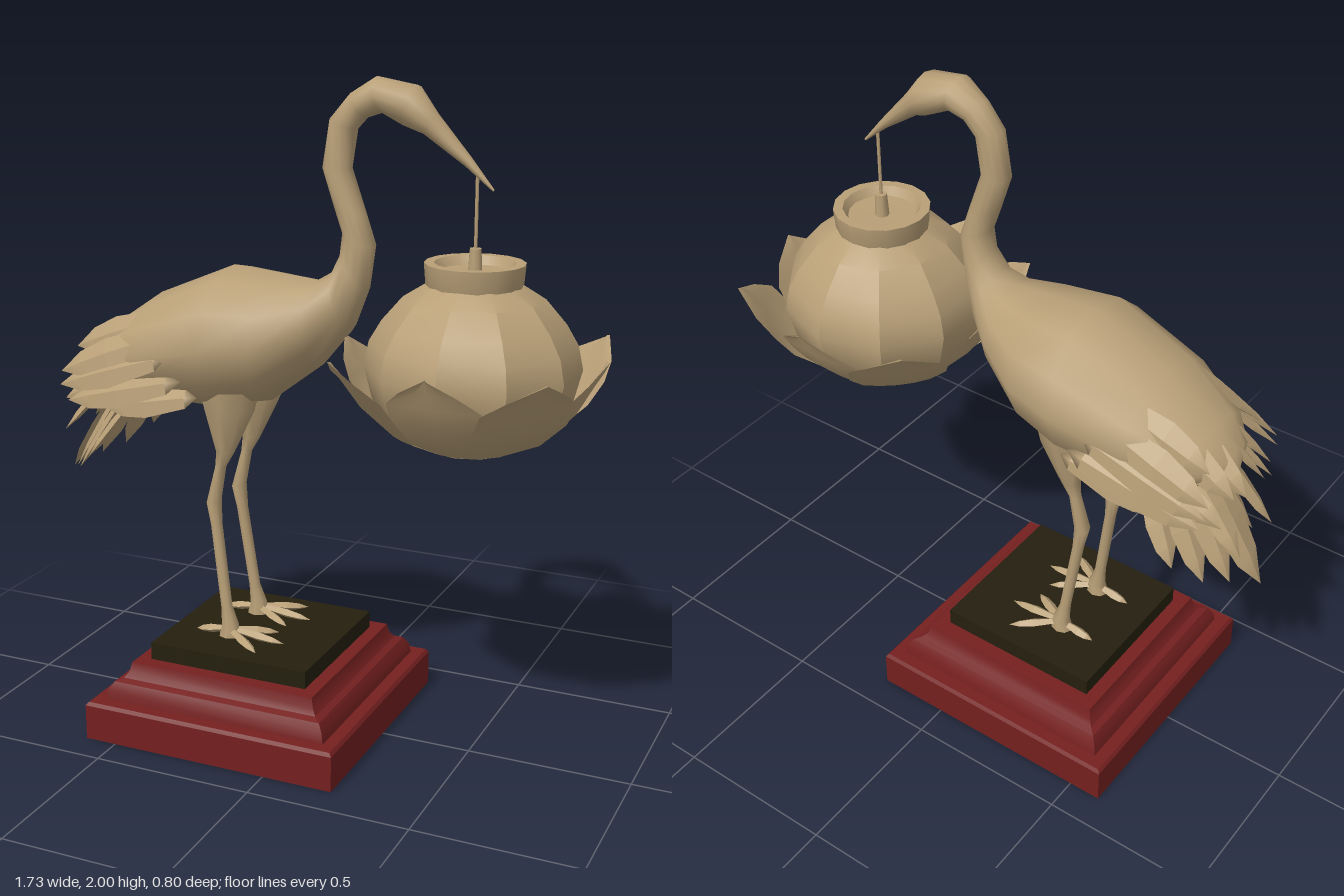
import * as THREE from 'three';
import { toCreasedNormals } from 'three/addons/utils/BufferGeometryUtils.js';

export function createModel() {
  const model = new THREE.Group();
  const mat = (name, color, side = THREE.FrontSide) => {
    const m = new THREE.MeshStandardMaterial({ color, side });
    m.name = name;
    return m;
  };
  const tan = mat('tan', 0xb89f77, THREE.DoubleSide);
  const red = mat('dark red', 0x74201f);
  const dark = mat('dark olive', 0x241f0e);

  const add = (name, geo, material, parent = model) => {
    const mesh = new THREE.Mesh(geo, material);
    mesh.name = name;
    parent.add(mesh);
    return mesh;
  };
  const group = (name) => {
    const g = new THREE.Group();
    g.name = name;
    model.add(g);
    return g;
  };
  const vec2 = (list) => list.map(([x, y]) => new THREE.Vector2(x, y));

  // Tube of oval rings; each ring is [x1, y1, x2, y2, half width in z, centre z]
  const loft = (rings, sides) => {
    const pos = [], idx = [];
    rings.forEach(([x1, y1, x2, y2, w, z = 0], i) => {
      for (let j = 0; j < sides; j++) {
        const a = (j / sides) * Math.PI * 2, c = Math.cos(a) / 2;
        pos.push((x1 + x2) / 2 + c * (x1 - x2), (y1 + y2) / 2 + c * (y1 - y2), z + Math.sin(a) * w);
        if (i === 0) continue;
        const k = (j + 1) % sides, p = (i - 1) * sides, q = i * sides;
        idx.push(p + j, p + k, q + j, p + k, q + k, q + j);
      }
    });
    const geo = new THREE.BufferGeometry();
    geo.setAttribute('position', new THREE.Float32BufferAttribute(pos, 3));
    geo.setIndex(idx);
    geo.computeVertexNormals();
    return geo;
  };

  // Flat pointed blade used for feathers and toes
  const bladeGeo = toCreasedNormals(
    new THREE.LatheGeometry(vec2([[0, 0], [0.65, 0.12], [1, 0.55], [0.75, 0.8], [0, 1]]), 4), 0.7);
  const blade = (name, from, to, width, thick, normal, parent) => {
    const a = new THREE.Vector3(...from), y = new THREE.Vector3(...to).sub(a), len = y.length();
    y.normalize();
    const x = new THREE.Vector3().crossVectors(y, new THREE.Vector3(...normal)).normalize();
    const z = new THREE.Vector3().crossVectors(x, y);
    const m = new THREE.Matrix4().makeBasis(x, y, z).scale(new THREE.Vector3(width, len, thick));
    add(name, bladeGeo, tan, parent).applyMatrix4(m.setPosition(a));
  };

  // Stepped pedestal
  const steps = [[0, 0], [0.4, 0], [0.4, 0.11], [0.392, 0.12], [0.355, 0.12], [0.35, 0.15], [0.335, 0.175],
    [0.315, 0.183], [0.302, 0.2], [0.295, 0.23], [0, 0.23]].map(([r, y]) => [r * Math.SQRT2, y]);
  const baseGeo = new THREE.LatheGeometry(vec2(steps), 4).rotateY(Math.PI / 4).scale(1.025, 1, 1);
  add('pedestal', toCreasedNormals(baseGeo, 0.5), red).position.x = -0.19;
  add('groundSlab', new THREE.BoxGeometry(0.52, 0.06, 0.5), dark).position.set(-0.19, 0.254, 0);

  // Body, neck, head and beak in one sweep
  const bird = group('bird');
  add('bodyNeckAndHead', loft([
    [-0.755, 1.1, -0.75, 1.09, 0.01],
    [-0.74, 1.15, -0.7, 1.06, 0.1],
    [-0.68, 1.22, -0.64, 1.03, 0.165],
    [-0.52, 1.33, -0.5, 1.01, 0.225],
    [-0.27, 1.435, -0.3, 1.0, 0.25],
    [-0.1, 1.42, -0.15, 1.03, 0.21],
    [0.0, 1.41, 0.02, 1.16, 0.14],
    [0.05, 1.44, 0.11, 1.27, 0.085],
    [0.075, 1.5, 0.16, 1.39, 0.055],
    [0.08, 1.56, 0.18, 1.52, 0.046],
    [0.055, 1.63, 0.15, 1.61, 0.045],
    [0.018, 1.74, 0.105, 1.74, 0.042],
    [0.04, 1.88, 0.122, 1.85, 0.042],
    [0.1, 1.95, 0.155, 1.885, 0.045],
    [0.18, 2.0, 0.2, 1.9, 0.06],
    [0.3, 1.98, 0.27, 1.865, 0.074],
    [0.36, 1.905, 0.325, 1.845, 0.038],
    [0.46, 1.79, 0.445, 1.765, 0.02],
    [0.53, 1.705, 0.525, 1.7, 0.003],
  ], 12), tan, bird);

  // Wing and tail feathers, legs and feet on each side
  const wing = [ // base, tip, half width
    [[-0.42, 1.29, 0.15], [-0.74, 1.17, 0.14], 0.055],
    [[-0.4, 1.25, 0.2], [-0.77, 1.1, 0.19], 0.055],
    [[-0.38, 1.19, 0.225], [-0.77, 1.06, 0.2], 0.05],
    [[-0.34, 1.12, 0.225], [-0.75, 1.01, 0.19], 0.05],
    [[-0.3, 1.07, 0.2], [-0.62, 1.0, 0.185], 0.045],
    [[-0.5, 1.25, 0.1], [-0.8, 1.08, 0.1], 0.05],
    [[-0.5, 1.15, 0.15], [-0.79, 1.0, 0.14], 0.045],
    [[-0.55, 1.25, 0.04], [-0.81, 1.06, 0.05], 0.045],
  ];
  const tail = [
    [[-0.58, 1.12, 0.04], [-0.8, 0.76, 0.075], 0.05],
    [[-0.56, 1.09, 0.08], [-0.75, 0.78, 0.14], 0.048],
    [[-0.52, 1.07, 0.11], [-0.68, 0.84, 0.2], 0.045],
    [[-0.6, 1.14, 0.06], [-0.83, 0.88, 0.09], 0.045],
  ];
  blade('tailFeather', [-0.6, 1.12, 0], [-0.86, 0.73, 0], 0.07, 0.016, [-0.8, 0.5, 0], bird);
  for (const s of [1, -1]) {
    const side = s > 0 ? 'left' : 'right';
    const flip = ([x, y, z]) => [x, y, z * s];
    for (const [a, b, w] of wing)
      blade(side + 'WingFeather', flip(a), flip(b), w, 0.016, [-0.2, 0.5, s], bird);
    for (const [a, b, w] of tail)
      blade(side + 'TailFeather', flip(a), flip(b), w, 0.014, [-0.8, 0.5, 0.3 * s], bird);

    add(side + 'Leg', loft([
      [-0.14, 1.12, -0.36, 1.12, 0.08, 0.09 * s],
      [-0.165, 1.02, -0.335, 1.02, 0.065, 0.09 * s],
      [-0.235, 0.88, -0.295, 0.88, 0.03, 0.088 * s],
      [-0.265, 0.83, -0.3, 0.83, 0.019, 0.088 * s],
      [-0.285, 0.72, -0.333, 0.71, 0.025, 0.085 * s],
      [-0.282, 0.64, -0.318, 0.64, 0.019, 0.088 * s],
      [-0.247, 0.38, -0.283, 0.38, 0.018, 0.098 * s],
      [-0.225, 0.32, -0.28, 0.32, 0.027, 0.1 * s],
      [-0.22, 0.285, -0.29, 0.285, 0.03, 0.1 * s],
    ], 8), tan, bird);
    for (const [x, z] of [[-0.07, 0.1], [-0.12, 0.195], [-0.12, 0.025], [-0.37, 0.1]])
      blade(side + 'Toe', [-0.255, 0.308, 0.1 * s], [x, 0.288, z * s], 0.017, 0.014, [0, 1, 0], bird);
  }

  // Hanging lantern with ribbed body, collar and cord
  const lantern = group('lantern');
  lantern.position.x = 0.48;
  const shell = new THREE.LatheGeometry(vec2([[0.125, 0.968], [0.22, 1.02], [0.285, 1.1], [0.31, 1.2],
    [0.295, 1.27], [0.26, 1.33], [0.2, 1.4], [0.135, 1.44]]), 20);
  const sp = shell.attributes.position;
  for (let i = 0; i < sp.count; i++) {
    const k = Math.floor(i / 8) % 2 ? 0.955 : 1;
    sp.setXYZ(i, sp.getX(i) * k, sp.getY(i), sp.getZ(i) * k);
  }
  add('lanternBody', toCreasedNormals(shell, 0.45), tan, lantern);
  add('lanternCollar', toCreasedNormals(new THREE.LatheGeometry(vec2([[0.13, 1.42], [0.138, 1.44],
    [0.143, 1.5], [0.115, 1.5], [0.1, 1.475], [0, 1.47]]), 16), 0.6), tan, lantern);
  add('lanternFoot', new THREE.CylinderGeometry(0.135, 0.13, 0.02, 12), tan, lantern).position.y = 0.976;
  add('lanternOpening', new THREE.CylinderGeometry(0.09, 0.09, 0.006, 8), dark, lantern).position.y = 0.965;
  add('lanternPlug', new THREE.CylinderGeometry(0.045, 0.045, 0.008, 6), tan, lantern).position.y = 0.964;
  add('cordKnob', new THREE.CylinderGeometry(0.017, 0.022, 0.08, 8), tan, lantern).position.y = 1.5;
  add('cord', new THREE.CylinderGeometry(0.005, 0.005, 0.25, 6), tan, lantern).position.y = 1.63;

  // Ring of curled petals: rows of [radius, height, half angle]
  const rows = [[0.13, 0.968, 0.4], [0.235, 1.02, 0.42], [0.305, 1.095, 0.45], [0.34, 1.16, 0.4],
    [0.362, 1.205, 0.23], [0.385, 1.255, 0]];
  for (let n = 0; n < 8; n++) {
    const geo = new THREE.PlaneGeometry(2, 1, 4, rows.length - 1);
    const p = geo.attributes.position;
    for (let i = 0; i < p.count; i++) {
      const t = rows.length - 1 - Math.floor(i / 5), [r, y, half] = rows[t], u = p.getX(i);
      const flare = n % 2 ? 1 + 0.024 * t : 1;
      const a = u * half, rad = r * flare * (1 + 0.025 * u * u);
      p.setXYZ(i, Math.sin(a) * rad, y, Math.cos(a) * rad);
    }
    geo.computeVertexNormals();
    add('petal', geo, tan, lantern).rotation.y = (n * Math.PI) / 4;
  }
  return model;
}
